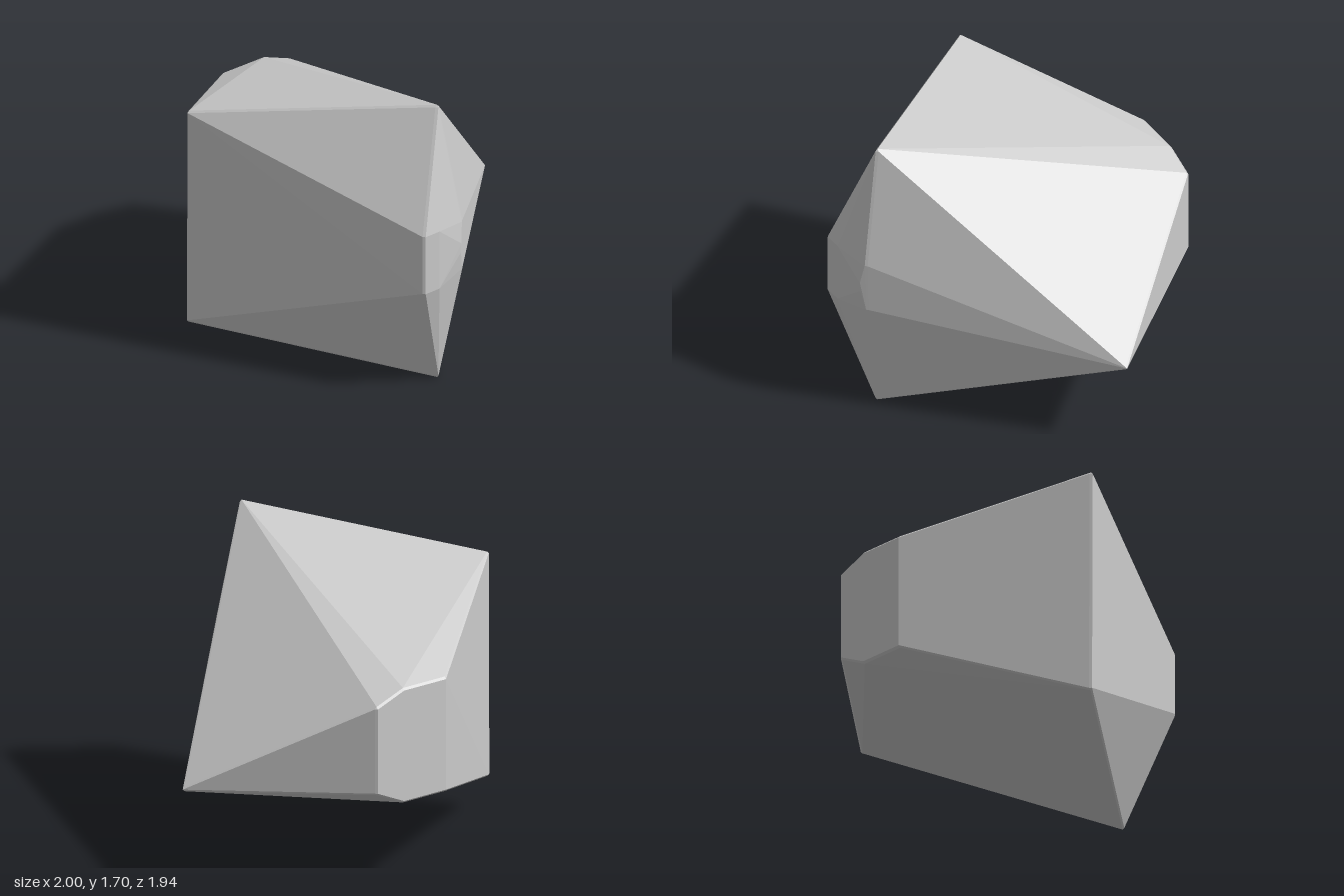
import * as THREE from 'three';
import { ConvexGeometry } from 'three/addons/geometries/ConvexGeometry.js';

// Slightly blunted convex stone: each corner becomes a tiny octahedron before hulling.
const BEVEL = 0.012;

const corners = [
  // upper and lower tips
  [-0.11, 1.7, 0.8], [-0.11, 0, 0.8],
  // tall edge on the -x side
  [-1, 1.52, -0.285], [-1, 0.2, -0.29],
  // point on the +x side
  [1, 0.535, -0.16],
  // small front facets
  [-0.34, 1.04, 0.97], [-0.34, 0.66, 0.97], [-0.24, 1.04, 0.967], [-0.24, 0.66, 0.967],
  [-0.015, 1.01, 0.914], [-0.035, 0.89, 0.933], [-0.035, 0.81, 0.931], [-0.01, 0.69, 0.908],
  // flat back facet
  [-0.2, 1.19, -0.97], [0.11, 1.19, -0.97], [0.29, 1.12, -0.97],
  [0.29, 0.6, -0.97], [0.11, 0.515, -0.97], [-0.2, 0.515, -0.97],
];

function bluntCorner([x, y, z]) {
  // pull the corner inward so the blunted tip keeps the overall size
  const inset = (v, mid) => v - Math.sign(v - mid) * Math.min(BEVEL, Math.abs(v - mid));
  const core = new THREE.Vector3(inset(x, -0.1), inset(y, 0.85), inset(z, 0));
  const points = [];
  for (const axis of [[1, 0, 0], [0, 1, 0], [0, 0, 1]]) {
    for (const s of [BEVEL, -BEVEL]) {
      points.push(core.clone().addScaledVector(new THREE.Vector3(...axis), s));
    }
  }
  return points;
}

export function createModel() {
  const group = new THREE.Group();
  group.name = 'rock';
  const stone = new THREE.Mesh(
    new ConvexGeometry(corners.flatMap(bluntCorner)),
    new THREE.MeshStandardMaterial({ color: 0xcccccc, flatShading: true })
  );
  stone.name = 'stone';
  group.add(stone);
  return group;
}
